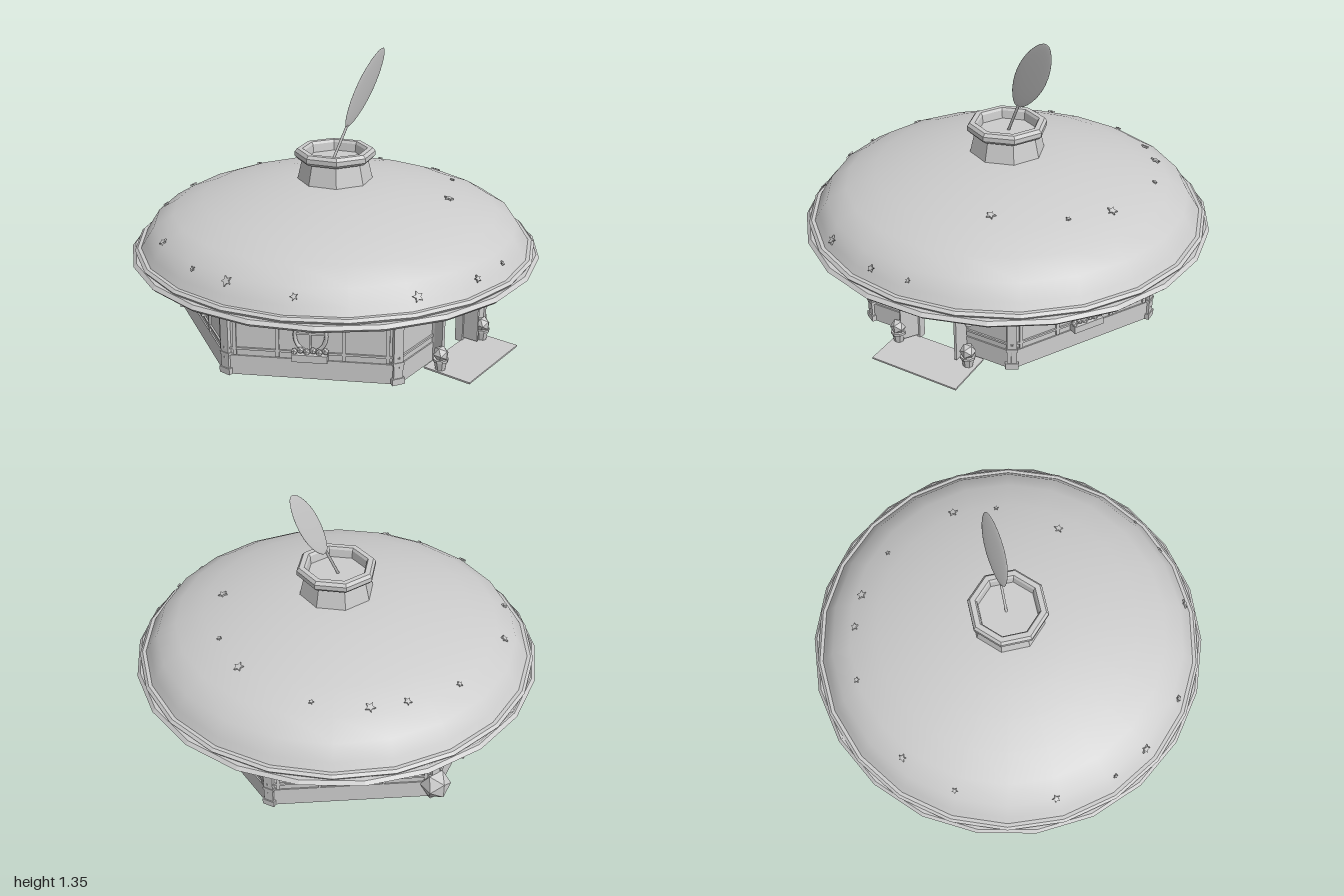
import * as THREE from 'three';

const plaster = new THREE.MeshStandardMaterial({ color: 0xcccccc, side: THREE.DoubleSide });
plaster.name = 'pale grey';

const R = 0.78, APO = R * Math.cos(Math.PI / 6), WALL_H = 0.465, CZ = -0.025;

function add(parent, name, geo, x = 0, y = 0, z = 0) {
  const m = new THREE.Mesh(geo, plaster);
  m.name = name;
  m.position.set(x, y, z);
  parent.add(m);
  return m;
}
const box = (p, name, w, h, d, x, y, z) => add(p, name, new THREE.BoxGeometry(w, h, d), x, y, z);
const flat = (geo) => { const g = geo.toNonIndexed(); g.computeVertexNormals(); return g; };
const extrude = (shape, depth) => new THREE.ExtrudeGeometry(shape, { depth, bevelEnabled: false, curveSegments: 10 });
const turned = (pts, sides) => new THREE.LatheGeometry(pts.map(([r, y]) => new THREE.Vector2(r, y)), sides);

// Dome profile, from eave to crown: [radius, height]
const DOME = [[0.955, 0.435], [0.93, 0.475], [0.885, 0.545], [0.79, 0.602], [0.65, 0.655], [0.5, 0.69], [0.36, 0.718], [0.2, 0.735], [0, 0.742]];

function domeAt(r) {
  for (let i = 0; i < DOME.length - 1; i++) {
    const [r0, y0] = DOME[i], [r1, y1] = DOME[i + 1];
    if (r <= r0 && r >= r1) {
      const t = (r0 - r) / (r0 - r1);
      return { y: y0 + (y1 - y0) * t, nr: y1 - y0, ny: r0 - r1 };
    }
  }
  return { y: 0.435, nr: 0.04, ny: 0.03 };
}

function starShape(s) {
  const shape = new THREE.Shape();
  for (let i = 0; i < 10; i++) {
    const a = i * Math.PI / 5, r = i % 2 ? s * 0.48 : s;
    shape[i ? 'lineTo' : 'moveTo'](Math.sin(a) * r, Math.cos(a) * r);
  }
  shape.closePath();
  return shape;
}

function heartShape(w, h) {
  const s = new THREE.Shape();
  s.moveTo(0, -h);
  s.bezierCurveTo(-w * 0.5, -h * 0.5, -w, 0, -w, h * 0.45);
  s.bezierCurveTo(-w, h * 1.15, -w * 0.15, h * 1.15, 0, h * 0.55);
  s.bezierCurveTo(w * 0.15, h * 1.15, w, h * 1.15, w, h * 0.45);
  s.bezierCurveTo(w, 0, w * 0.5, -h * 0.5, 0, -h);
  return s;
}

function roof() {
  const g = new THREE.Group();
  g.name = 'roof';
  add(g, 'dome', turned(DOME, 22));
  // Two stepped bands around the eave, their corners staggered
  const band = add(g, 'eaveBand', flat(turned([[0.94, 0.39], [0.985, 0.39], [1.0, 0.405], [0.985, 0.42], [0.94, 0.42], [0.94, 0.39]], 22)));
  band.rotation.y = Math.PI / 22;
  add(g, 'eaveTrim', flat(turned([[0.94, 0.42], [0.972, 0.42], [0.98, 0.432], [0.967, 0.443], [0.94, 0.443]], 22)));

  // Scattered stars lying on the dome: [x, z, size]
  const stars = [[-0.17, -0.81, 0.02], [-0.45, -0.72, 0.015], [0.27, -0.74, 0.015], [0.49, -0.58, 0.02], [0.6, -0.45, 0.025],
    [0.69, -0.21, 0.012], [-0.79, -0.38, 0.02], [-0.89, -0.09, 0.012], [-0.89, 0.11, 0.025], [-0.81, 0.41, 0.018],
    [-0.47, 0.79, 0.025], [-0.17, 0.9, 0.018], [0.03, 0.91, 0.012], [0.64, 0.18, 0.025], [0.51, 0.36, 0.012], [0.21, 0.52, 0.024]];
  for (const [x, z, s] of stars) {
    const r = Math.hypot(x, z), d = domeAt(r);
    const n = new THREE.Vector3(x / r * d.nr, d.ny, z / r * d.nr).normalize();
    const m = add(g, 'star', extrude(starShape(s), 0.008), x, d.y, z);
    m.quaternion.setFromUnitVectors(new THREE.Vector3(0, 0, 1), n);
    m.position.addScaledVector(n, 0.002);
  }
  return g;
}

// Soffit from the hexagonal wall tops out to the round eave; open over the room
function soffit(parent) {
  const s = new THREE.Shape();
  s.absarc(0, 0, 0.955, 0, Math.PI * 2);
  const hole = new THREE.Path();
  for (let i = 0; i < 6; i++)
    hole[i ? 'lineTo' : 'moveTo'](Math.cos(i * Math.PI / 3) * R, Math.sin(i * Math.PI / 3) * R);
  hole.closePath();
  s.holes.push(hole);
  const geo = new THREE.ShapeGeometry(s, 11).rotateX(Math.PI / 2);
  const p = geo.attributes.position;
  for (let i = 0; i < p.count; i++) p.setY(i, Math.hypot(p.getX(i), p.getZ(i)) > 0.9 ? 0.425 : WALL_H);
  add(parent, 'soffit', flat(geo));
}

function chimney() {
  const g = new THREE.Group();
  g.name = 'chimney';
  g.rotation.y = -0.1;
  add(g, 'chimneyStack', flat(turned([[0.187, 0.72], [0.158, 0.845]], 8)));
  add(g, 'chimneyCap', flat(turned([[0.158, 0.837], [0.184, 0.837], [0.196, 0.85], [0.196, 0.872], [0.184, 0.887], [0.158, 0.887], [0.15, 0.875], [0.145, 0.835], [0, 0.835]], 8)));
  return g;
}

function leaf() {
  const g = new THREE.Group();
  g.name = 'leaf';
  const base = new THREE.Vector3(0.0, 0.83, -0.01), neck = new THREE.Vector3(0.072, 0.99, 0.02);
  add(g, 'leafStem', new THREE.TubeGeometry(new THREE.LineCurve3(base, neck), 1, 0.007, 6));
  // Flat oval blade with tapering ends, leaning right and forward
  const along = new THREE.Vector3(0.2, 0.38, 0.083).normalize();
  const normal = new THREE.Vector3(0, -0.213, 0.977);
  const side = new THREE.Vector3().crossVectors(along, normal).normalize();
  const geo = new THREE.SphereGeometry(1, 20, 14);
  const p = geo.attributes.position;
  for (let i = 0; i < p.count; i++) p.setX(i, p.getX(i) * (1 - 0.15 * p.getY(i) ** 2));
  const blade = add(g, 'leafBlade', geo, 0.16, 1.165, 0.06);
  blade.scale.set(0.077, 0.212, 0.006);
  blade.quaternion.setFromRotationMatrix(new THREE.Matrix4().makeBasis(side, along, normal.clone().crossVectors(side, along)));
  return g;
}

function roundWindow(wall) {
  // Deep outer frame and a fine inner ring
  const frame = add(wall, 'windowFrame', new THREE.TorusGeometry(0.071, 0.009, 6, 20), 0, 0.215, APO + 0.006);
  frame.scale.set(1, 1.15, 1.5);
  add(wall, 'windowInnerRing', new THREE.TorusGeometry(0.068, 0.004, 4, 20), 0, 0.215, APO - 0.012);
  box(wall, 'windowBarUpright', 0.009, 0.15, 0.014, 0, 0.215, APO + 0.006);
  box(wall, 'windowBarCross', 0.14, 0.009, 0.014, 0, 0.225, APO + 0.006);
  // Flower box with small blooms
  box(wall, 'flowerBox', 0.16, 0.035, 0.04, 0, 0.118, APO + 0.025);
  for (let i = 0; i < 6; i++)
    add(wall, 'bloom', new THREE.IcosahedronGeometry(0.017, 0), -0.07 + i * 0.028, 0.143 + (i % 2) * 0.008, APO + 0.025);
}

function heartPanel(wall) {
  add(wall, 'heart', extrude(heartShape(0.066, 0.07), 0.01), 0, 0.222, APO - 0.002);
  box(wall, 'heartSill', 0.17, 0.012, 0.03, 0, 0.153, APO + 0.01);
}

function sideWall(i) {
  const w = new THREE.Group();
  w.name = 'wall';
  box(w, 'wallPanel', R, WALL_H, 0.01, 0, WALL_H / 2, APO - 0.005);
  box(w, 'plinth', R, 0.095, 0.012, 0, 0.0475, APO);
  box(w, 'lowRail', R, 0.01, 0.016, 0, 0.13, APO);
  box(w, 'topRail', R, 0.014, 0.016, 0, 0.385, APO);
  for (const x of [-0.345, -0.15, 0.15, 0.345]) box(w, 'batten', 0.016, 0.28, 0.014, x, 0.24, APO + 0.002);
  if (i % 2) roundWindow(w); else heartPanel(w);
  return w;
}

function pottedPlant(parent, x, z) {
  add(parent, 'pot', flat(new THREE.CylinderGeometry(0.032, 0.022, 0.055, 8)), x, 0.0275, z);
  add(parent, 'potRim', flat(new THREE.CylinderGeometry(0.036, 0.036, 0.012, 8)), x, 0.056, z);
  add(parent, 'shrub', new THREE.IcosahedronGeometry(0.038, 0), x, 0.085, z);
}

function frontWall() {
  const w = new THREE.Group();
  w.name = 'frontWall';
  const s = new THREE.Shape();
  const L = -R / 2, D0 = -0.095, D1 = 0.135;
  // Panel with an open doorway
  [[L, 0], [D0, 0], [D0, 0.31], [D1, 0.31], [D1, 0], [-L, 0], [-L, WALL_H], [L, WALL_H]]
    .forEach(([x, y], i) => s[i ? 'lineTo' : 'moveTo'](x, y));
  add(w, 'wallPanel', extrude(s, 0.01), 0, 0, APO - 0.01);
  for (const [a, b] of [[L, D0], [D1, -L]]) {
    box(w, 'plinth', b - a, 0.095, 0.012, (a + b) / 2, 0.0475, APO);
    box(w, 'lowRail', b - a, 0.01, 0.016, (a + b) / 2, 0.13, APO);
  }
  for (const x of [D0 - 0.008, D1 + 0.008]) box(w, 'doorPost', 0.018, 0.315, 0.04, x, 0.1575, APO);
  box(w, 'doorLintel', 0.265, 0.014, 0.04, 0.02, 0.317, APO);
  const arch = add(w, 'doorArch', new THREE.TorusGeometry(0.13, 0.008, 6, 16, Math.PI), 0.02, 0.317, APO + 0.005);
  arch.scale.y = 0.52;
  // Open door leaves
  for (const [x, turn] of [[-0.13, 0.6], [0.15, 0]]) {
    const d = box(w, 'doorLeaf', 0.012, 0.28, 0.09, x, 0.16, APO + 0.05);
    d.rotation.y = -turn;
  }
  // Hanging round sign, set square to the wall
  const sign = add(w, 'sign', new THREE.CylinderGeometry(0.05, 0.05, 0.01, 18), 0.235, 0.295, APO + 0.09);
  sign.rotation.z = Math.PI / 2;
  const rim = add(w, 'signRim', new THREE.TorusGeometry(0.05, 0.007, 6, 18), 0.235, 0.295, APO + 0.09);
  rim.rotation.y = Math.PI / 2;
  box(w, 'signBracket', 0.01, 0.01, 0.13, 0.235, 0.362, APO + 0.06);
  pottedPlant(w, -0.17, APO + 0.085);
  pottedPlant(w, 0.21, APO + 0.085);
  // Doormat
  box(w, 'mat', 0.45, 0.008, 0.24, 0.025, 0.004, APO + 0.135);
  return w;
}

function cornerPost(i) {
  const g = new THREE.Group();
  g.name = 'cornerPost';
  g.rotation.y = Math.PI / 6 + i * Math.PI / 3;
  const c = R - 0.018;
  box(g, 'post', 0.046, 0.45, 0.046, 0, 0.225, c);
  box(g, 'postFoot', 0.06, 0.03, 0.056, 0, 0.015, c);
  box(g, 'postCollar', 0.054, 0.014, 0.052, 0, 0.1, c);
  // Curved bracket up to the eave
  const curve = new THREE.QuadraticBezierCurve3(new THREE.Vector3(0, 0.31, R), new THREE.Vector3(0, 0.41, R + 0.01), new THREE.Vector3(0, 0.42, 0.93));
  const bracket = add(g, 'bracket', new THREE.TubeGeometry(curve, 8, 0.013, 6));
  bracket.scale.x = 1.7;
  // Little lights strung below the bracket
  for (let k = 0; k < 5; k++)
    add(g, 'stringLight', new THREE.IcosahedronGeometry(0.008, 0), 0, 0.374 + 0.003 * Math.abs(k - 2), 0.86 + k * 0.022);
  // Faceted bushes at the two rear corners
  if (i === 2 || i === 3) add(g, 'bush', new THREE.IcosahedronGeometry(0.074, 0), 0, 0.08, R + 0.005);
  return g;
}

export function createModel() {
  const model = new THREE.Group();
  model.name = 'cottage';
  model.add(roof(), chimney(), leaf());

  const house = new THREE.Group();
  house.name = 'house';
  house.position.z = CZ;
  house.add(frontWall());
  for (let i = 1; i < 6; i++) {
    const w = sideWall(i);
    w.rotation.y = i * Math.PI / 3;
    house.add(w);
  }
  for (let i = 0; i < 6; i++) house.add(cornerPost(i));
  soffit(house);
  model.add(house);
  return model;
}
